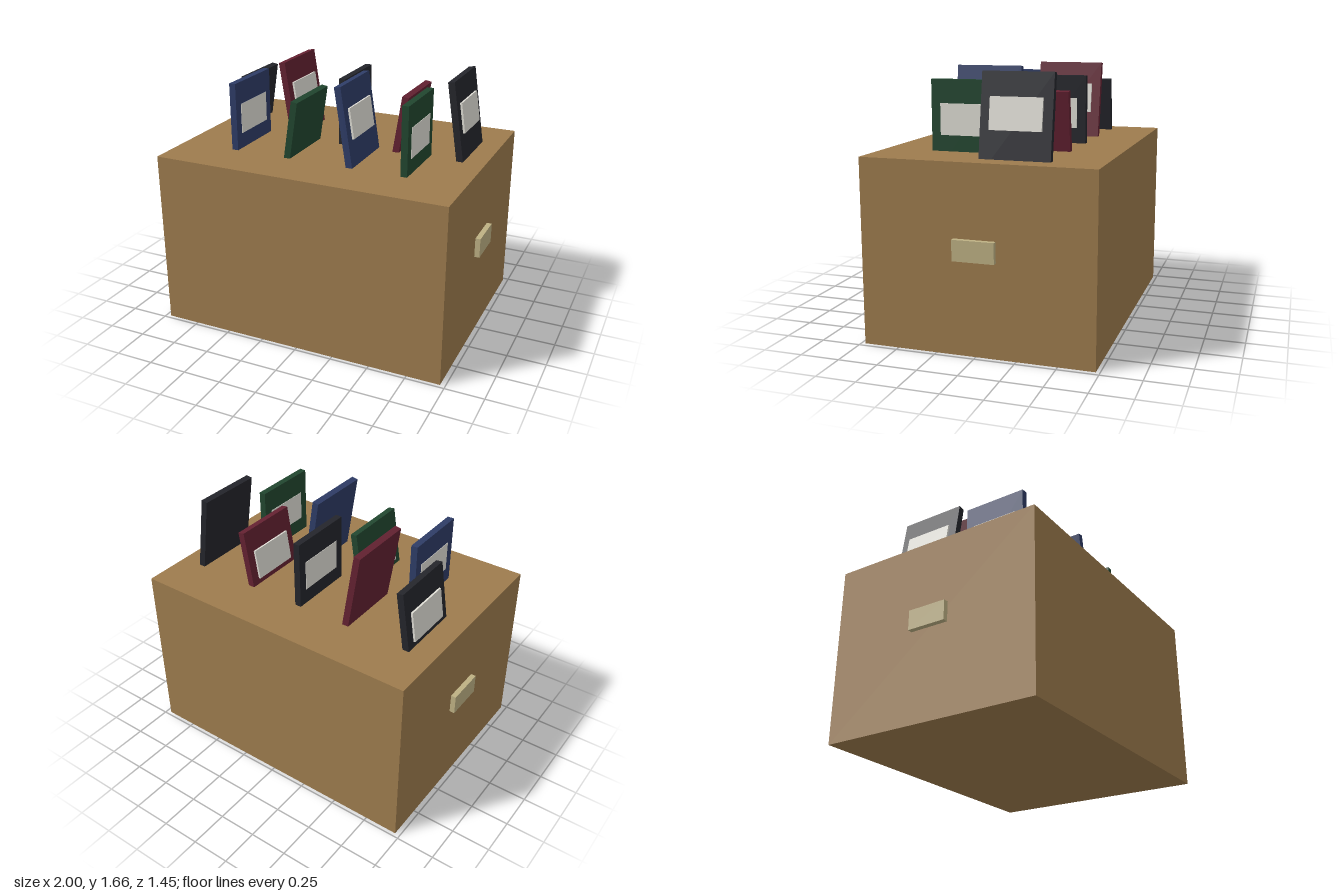
import * as THREE from 'three';

const material = (color) => new THREE.MeshStandardMaterial({ color });

function box(name, size, position, mat) {
  const mesh = new THREE.Mesh(new THREE.BoxGeometry(...size), mat);
  mesh.name = name;
  mesh.position.set(...position);
  return mesh;
}

export function createModel() {
  const model = new THREE.Group();
  model.name = 'boxOfCases';

  const card = material(0x9d7b4d);
  const tape = material(0xbdb083);
  const paper = material(0xdedcd4);
  const black = material(0x24252b);
  const blue = material(0x2e3c66);
  const red = material(0x632131);
  const green = material(0x21462f);

  // Cardboard box
  model.add(box('crate', [1.934, 1.16, 1.45], [0, 0.58, 0], card));

  // Grip on each side
  for (const side of [-1, 1]) {
    model.add(box(side > 0 ? 'leftGrip' : 'rightGrip',
      [0.06, 0.128, 0.26], [side * 0.97, 0.647, 0], tape));
  }

  // Two staggered rows of cases, leaning right, upright, then left in turn
  const colors = [black, blue, red, green];
  for (let i = 0; i < 9; i++) {
    const lean = (i % 3) - 1;
    const x = (i - 4) * 0.194;
    const y = 1.29 + lean * 0.065;
    const z = i % 2 ? 0.193 : -0.195;
    const mat = colors[i % 4];

    const cover = box('case', [0.043, 0.62, 0.436], [x, y, z], mat);
    // The label is slightly thicker than the case, so it shows on its faces
    const label = box('label', [0.049, 0.195, 0.32], [x, y + 0.067, z], paper);
    cover.rotation.z = label.rotation.z = lean * 0.154;
    model.add(cover, label);
  }
  return model;
}
